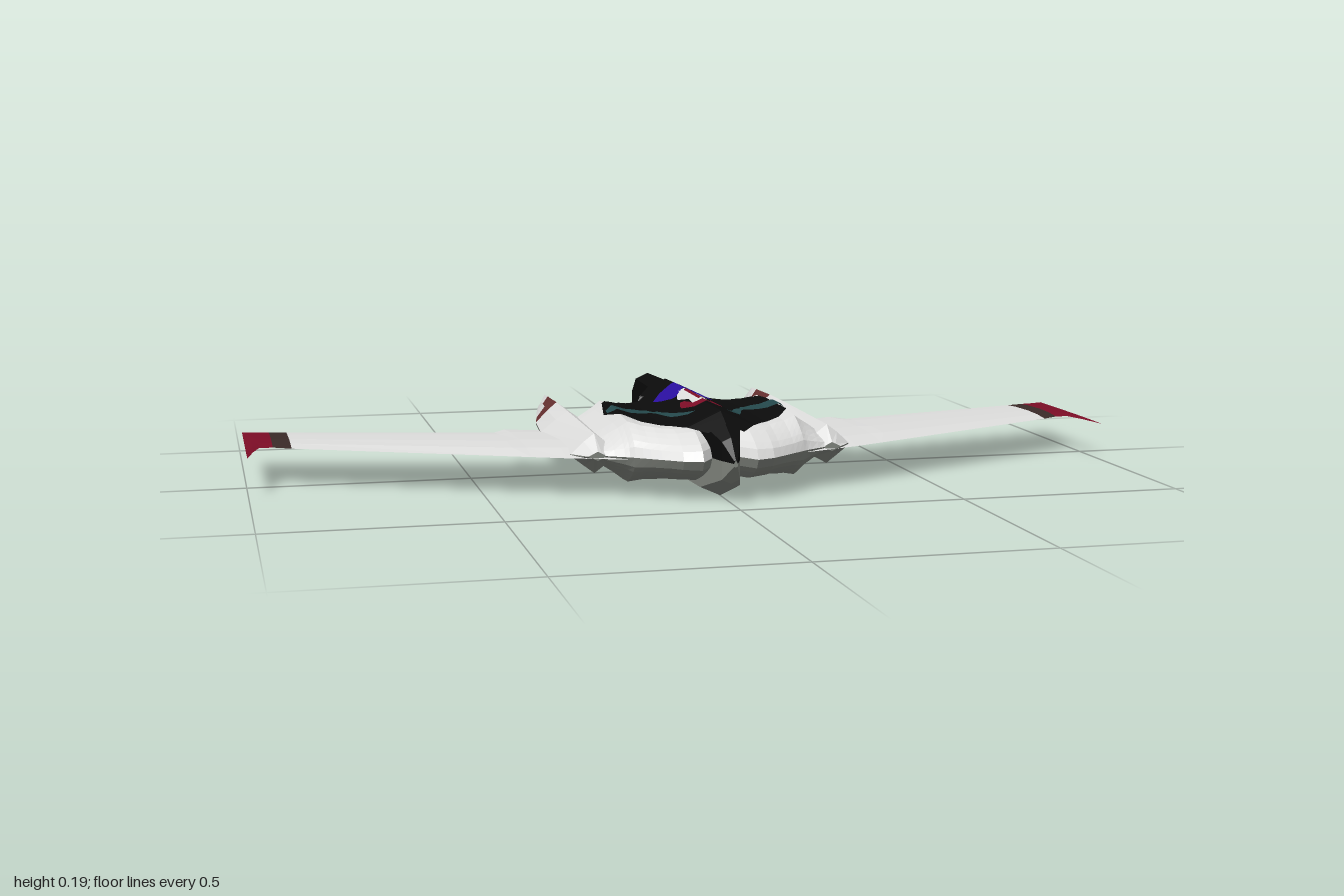
import * as THREE from 'three';

const MID = 0.093; // height of the horizontal symmetry plane
const colour = (name, hex) => {
  const m = new THREE.MeshStandardMaterial({ color: hex, flatShading: true });
  m.name = name;
  return m;
};

// Linear interpolation through [key, value] points with ascending keys
function lerpTable(table, k) {
  if (k <= table[0][0]) return table[0][1];
  for (let i = 1; i < table.length; i++) {
    const [k0, v0] = table[i - 1], [k1, v1] = table[i];
    if (k <= k1) return v0 + (v1 - v0) * (k - k0) / (k1 - k0);
  }
  return table[table.length - 1][1];
}

// Skin closed rings of [x, y, z]; paint(ring, side) picks the material index
function loft(name, rings, materials, paint) {
  const tris = materials.map(() => []);
  const n = rings[0].length, last = rings.length - 1;
  const centre = new THREE.Vector3(0, MID, 0);
  let volume = 0;
  const add = (m, ...corners) => {
    tris[m].push(corners);
    const [a, b, c] = corners.map(p => new THREE.Vector3(...p).sub(centre));
    volume += a.dot(b.cross(c));
  };
  for (let i = 0; i < last; i++) for (let j = 0; j < n; j++) {
    const k = (j + 1) % n, m = paint(i, j);
    add(m, rings[i][j], rings[i + 1][j], rings[i + 1][k]);
    add(m, rings[i][j], rings[i + 1][k], rings[i][k]);
  }
  for (let j = 1; j < n - 1; j++) {
    add(paint(0, j), rings[0][0], rings[0][j], rings[0][j + 1]);
    add(paint(last - 1, j), rings[last][0], rings[last][j + 1], rings[last][j]);
  }
  // Turn every face outward
  const geo = new THREE.BufferGeometry(), pos = [];
  tris.forEach((list, m) => {
    const start = pos.length / 3;
    for (const [a, b, c] of list) pos.push(...a, ...(volume > 0 ? b : c), ...(volume > 0 ? c : b));
    geo.addGroup(start, list.length * 3, m);
  });
  geo.setAttribute('position', new THREE.Float32BufferAttribute(pos, 3));
  geo.computeVertexNormals();
  const mesh = new THREE.Mesh(geo, materials);
  mesh.name = name;
  return mesh;
}

// Hull shape: height across x, front and rear outline, rounded towards both ends
const HEIGHT = [[0, 0.058], [0.12, 0.055], [0.16, 0.06], [0.19, 0.07], [0.21, 0.055], [0.25, 0.03]];
const FRONT = [[0, 0.36], [0.03, 0.38], [0.06, 0.425], [0.1, 0.41], [0.15, 0.37], [0.2, 0.33], [0.25, 0.3]];
const REAR = [[0, -0.22], [0.05, -0.2], [0.1, -0.14], [0.15, -0.12], [0.25, -0.11]];
function hullHeight(x, z) {
  const fade = (d, len) => Math.sqrt(THREE.MathUtils.clamp(d / len, 0, 1));
  return lerpTable(HEIGHT, x) * fade(lerpTable(FRONT, x) - z, 0.09) * fade(z - lerpTable(REAR, x), 0.07);
}
const surfaceY = (x, z) => {
  const ridge = x < 0.08 ? lerpTable([[-0.2, 0.092], [0.33, 0.092], [0.42, 0.05]], z) - 0.45 * x : 0;
  return MID + Math.max(hullHeight(x, z), ridge);
};

// Thin mirrored paint layer lying on the hull; rows are [z, inner x, outer x]
function drape(name, rows, material, lift) {
  const pos = [], N = 20, STEPS = 6;
  const fine = [rows[0]];
  for (let i = 1; i < rows.length; i++) for (let s = 1; s <= STEPS; s++) {
    fine.push(rows[i].map((v, k) => THREE.MathUtils.lerp(rows[i - 1][k], v, s / STEPS)));
  }
  for (const side of [1, -1]) {
    const at = (r, j) => {
      const x = r[1] + (r[2] - r[1]) * j / N;
      return [side * x, surfaceY(x, r[0]) + lift, r[0]];
    };
    for (let i = 0; i < fine.length - 1; i++) for (let j = 0; j < N; j++) {
      const a = at(fine[i], j), b = at(fine[i + 1], j), c = at(fine[i + 1], j + 1), d = at(fine[i], j + 1);
      if (side > 0) pos.push(...a, ...b, ...c, ...a, ...c, ...d);
      else pos.push(...a, ...c, ...b, ...a, ...d, ...c);
    }
  }
  const geo = new THREE.BufferGeometry();
  geo.setAttribute('position', new THREE.Float32BufferAttribute(pos, 3));
  geo.computeVertexNormals();
  const mesh = new THREE.Mesh(geo, material);
  mesh.name = name;
  return mesh;
}

export function createModel() {
  const ship = new THREE.Group();
  ship.name = 'ship';
  const white = colour('hull white', 0xdededd), under = colour('underside grey', 0x80847d);
  const black = colour('panel black', 0x0b0b0b), red = colour('tip red', 0x7c0d26);
  const dark = colour('tip dark brown', 0x3a2a28), brown = colour('band brown', 0x673030);
  const blue = colour('canopy blue', 0x2a0fa0), teal = colour('marking teal', 0x24484b);
  for (const m of [white, black, red, blue, teal]) m.side = THREE.DoubleSide;

  // Central hull, skinned from one side to the other, grey below
  const half = [0, 0.03, 0.045, 0.06, 0.08, 0.1, 0.12, 0.14, 0.16, 0.175, 0.19, 0.2, 0.21, 0.23, 0.25];
  const xs = [...half.slice(1).reverse().map(x => -x), ...half];
  const T = [0, 0.02, 0.05, 0.09, 0.13, 0.18, 0.3, 0.45, 0.6, 0.75, 0.85, 0.9, 0.94, 0.97, 1];
  ship.add(loft('hull', xs.map(x => {
    const ax = Math.abs(x), f = lerpTable(FRONT, ax), r = lerpTable(REAR, ax);
    const side = s => T.map(t => {
      const z = f + (r - f) * t;
      return [x, MID + s * hullHeight(ax, z), z];
    });
    return [...side(1), ...side(-1).reverse().slice(1, -1)];
  }), [white, under], (i, j) => (j < T.length - 1 ? 0 : 1)));

  // Spine from nose point to tail boom: [z, half height, half width]
  const spine = [[0.46, 0.008, 0.004], [0.42, 0.05, 0.02], [0.33, 0.092, 0.045], [0.2, 0.092, 0.07], [0, 0.092, 0.075],
    [-0.1, 0.092, 0.06], [-0.2, 0.092, 0.038], [-0.38, 0.085, 0.03], [-0.44, 0.045, 0.026], [-0.462, 0.01, 0.015]];
  ship.add(loft('spine', spine.map(([z, h, w]) => {
    const e = Math.max(h - 0.45 * w, 0.002);
    return [[0, h], [w, e], [w, 0], [w, -e], [0, -h], [-w, -e], [-w, 0], [-w, e]].map(([x, y]) => [x, MID + y, z]);
  }), [under, black], (i, j) => (j < 2 || j > 5 ? 1 : 0)));

  // Painted upper deck
  ship.add(drape('deckPanel', [[-0.19, 0, 0.042], [-0.13, 0, 0.08], [-0.08, 0, 0.14], [0, 0, 0.195], [0.1, 0, 0.211],
    [0.2, 0, 0.188], [0.25, 0, 0.155], [0.3, 0, 0.1], [0.34, 0, 0.07], [0.38, 0, 0.04]], black, 0.004));
  ship.add(drape('canopy', [[-0.1, 0, 0.008], [-0.06, 0, 0.045], [-0.01, 0, 0.072], [0.02, 0.018, 0.06], [0.045, 0.03, 0.04]], blue, 0.007));
  ship.add(drape('deckStripe', [[0, 0, 0.012], [0.03, 0, 0.024], [0.08, 0, 0.035], [0.12, 0, 0.018], [0.17, 0, 0.022]], white, 0.007));
  ship.add(drape('deckStripeLine', [[0.02, 0, 0.006], [0.16, 0, 0.006]], red, 0.009));
  ship.add(drape('deckChevron', [[0.12, 0.03, 0.038], [0.15, 0.024, 0.046], [0.172, 0.022, 0.048],
    [0.175, 0, 0.048], [0.21, 0, 0.028]], red, 0.008));
  ship.add(drape('sidePatch', [[0.08, 0.14, 0.185], [0.092, 0.11, 0.205], [0.12, 0.1, 0.207], [0.142, 0.14, 0.195]], teal, 0.008));
  ship.add(drape('sideCurve', [[0.115, 0.09, 0.12], [0.14, 0.078, 0.1], [0.18, 0.068, 0.088], [0.22, 0.052, 0.072],
    [0.25, 0.035, 0.052]], teal, 0.008));

  // Mirrored engines and wings
  const engine = [[0.3, 0.01, 0.02], [0.26, 0.044, 0.052], [-0.05, 0.047, 0.064], [-0.195, 0.047, 0.05], [-0.265, 0.045, 0.037],
    [-0.315, 0.044, 0.028], [-0.36, 0.042, 0.02], [-0.425, 0.008, 0.006]]; // [z, half height, half width]
  const enginePaint = (i, j) => {
    const ridge = j === 0 || j === 9;
    if (i === 3 || (i === 4 && ridge)) return 2;
    return j > 1 && j < 8 ? 1 : 0;
  };
  const wing = [[0.2, 0.33, -0.11, 0.015], [0.33, 0.28, -0.11, 0.013], [0.4, 0.247, -0.14, 0.011], [0.43, 0.233, -0.1, 0.011],
    [0.9, 0.012, -0.215, 0.005], [0.94, -0.012, -0.226, 0.005], [0.97, -0.012, -0.232, 0.004],
    [0.985, 0.04, -0.237, 0.003], [1, 0.12, -0.242, 0.001]]; // [x, front z, rear z, half thickness]
  const wingPaint = (i, j) => {
    if (i > 4) return 3;
    if (i === 4) return 2;
    return j < 4 ? 0 : 1;
  };
  for (const [side, s] of [['left', 1], ['right', -1]]) {
    ship.add(loft(side + 'Engine', engine.map(([z, h, w]) =>
      [[0, h], [0.45 * w, 0.6 * h], [w, 0], [w, -0.1 * h], [0.45 * w, -0.6 * h], [0, -h],
        [-0.45 * w, -0.6 * h], [-w, -0.1 * h], [-w, 0], [-0.45 * w, 0.6 * h]]
        .map(([x, y]) => [s * (0.265 + x), MID + y, z])), [white, under, brown], enginePaint));
    ship.add(loft(side + 'Wing', wing.map(([x, f, r, t]) =>
      [[0, 0], [0.2, 0.8], [0.45, 1], [0.8, 0.6], [1, 0], [0.8, -0.6], [0.45, -1], [0.2, -0.8]]
        .map(([c, y]) => [s * x, 0.088 + y * t, f + (r - f) * c])), [white, under, dark, red], wingPaint));
  }
  return ship;
}
